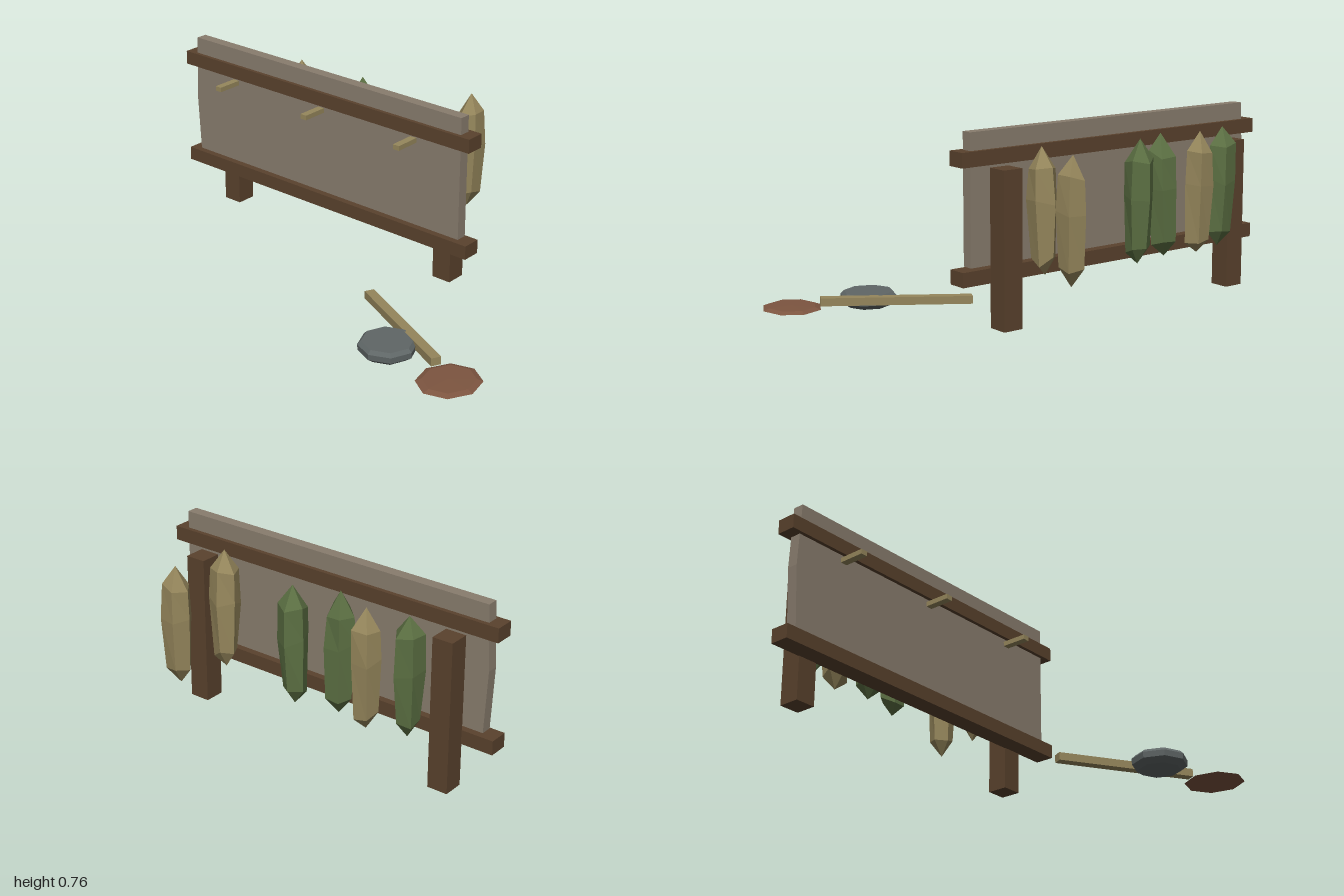
import * as THREE from 'three';

const mat = (name, color) => new THREE.MeshStandardMaterial({ name, color, flatShading: true });

export function createModel() {
  const group = new THREE.Group();
  const wood = mat('dark wood', 0x5a422d);
  const board = mat('grey board', 0x897d6e);
  const straw = mat('straw', 0x96875c);
  const leaf = mat('leaf green', 0x5c7043);
  const stone = mat('stone', 0x5f6666);
  const rust = mat('rust', 0x7d5540);

  let seed = 7;
  const jitter = (a) => {
    seed = (seed * 16807) % 2147483647;
    return (seed / 2147483647 - 0.5) * 2 * a;
  };

  const add = (name, geometry, material, x = 0, y = 0, z = 0) => {
    const mesh = new THREE.Mesh(geometry, material);
    mesh.name = name;
    mesh.position.set(x, y, z);
    group.add(mesh);
    return mesh;
  };
  // Box given by its limits on each axis
  const box = (name, material, [x0, x1], [y0, y1], [z0, z1]) =>
    add(name, new THREE.BoxGeometry(x1 - x0, y1 - y0, z1 - z0), material,
      (x0 + x1) / 2, (y0 + y1) / 2, (z0 + z1) / 2);
  // Faceted turned shape from [radius, height] pairs
  const turned = (profile, sides) =>
    new THREE.LatheGeometry(profile.map(([r, y]) => new THREE.Vector2(r, y)), sides);

  // Rack frame
  for (const x of [-0.8225, 0.3475])
    box('post', wood, [x - 0.043, x + 0.043], [0.005, 0.622], [-0.293, -0.207]);
  box('lowerRail', wood, [-1, 0.52], [0.18, 0.238], [-0.21, -0.13]);
  box('upperRail', wood, [-1, 0.52], [0.632, 0.69], [-0.21, -0.13]);

  // Upright panel with a slightly bowed end
  const outline = new THREE.Shape([
    [-0.945, 0.245], [0.47, 0.245], [0.47, 0.76], [-0.945, 0.76], [-0.958, 0.5],
  ].map(([x, y]) => new THREE.Vector2(x, y)));
  add('panel', new THREE.ExtrudeGeometry(outline, { depth: 0.046, bevelEnabled: false }),
    board, 0, 0, -0.192);

  // Pegs on the front
  for (const x of [-0.72, -0.24, 0.24])
    box('peg', straw, [x - 0.015, x + 0.015], [0.6, 0.62], [-0.15, -0.037]);

  // Hanging bundles: five-sided pods with uneven facets
  const podProfile = [[0, -0.248], [0.05, -0.19], [0.061, 0.03], [0.055, 0.165], [0, 0.248]];
  const pods = [
    [-0.70, -0.32, leaf], [-0.54, -0.36, straw], [-0.385, -0.315, leaf],
    [-0.21, -0.37, leaf], [0.2, -0.288, straw], [0.245, -0.512, straw],
  ];
  for (const [x, z, material] of pods) {
    const geometry = turned(podProfile, 5);
    const p = geometry.attributes.position;
    const rings = podProfile.length;
    for (let j = 1; j < rings - 1; j++) {
      for (let i = 0; i < 5; i++) {
        const k = i * rings + j;
        const s = 1 + jitter(0.09);
        p.setXYZ(k, p.getX(k) * s, p.getY(k) + jitter(0.02), p.getZ(k) * s);
      }
      // Close the seam
      const end = 5 * rings + j;
      p.setXYZ(end, p.getX(j), p.getY(j), p.getZ(j));
    }
    geometry.computeVertexNormals();
    const pod = add('hangingBundle', geometry, material, x, 0.447, z);
    pod.rotation.set(jitter(0.03), jitter(Math.PI), jitter(0.03));
  }

  // Flat stone on the ground
  add('flatStone', turned([[0, 0.004], [0.085, 0.004], [0.112, 0.024], [0.114, 0.048],
    [0.1, 0.062], [0, 0.062]], 8), stone, 0.555, 0, 0.39);

  // Paddle: sloping handle and thin eight-sided blade
  const from = new THREE.Vector3(0.24, 0.033, 0.117);
  const to = new THREE.Vector3(0.78, 0.054, 0.387);
  const handle = add('paddleHandle', new THREE.BoxGeometry(0.04, 0.032, from.distanceTo(to)), straw);
  handle.position.copy(from).lerp(to, 0.5);
  handle.lookAt(to);
  const blade = add('paddleBlade', turned([[0, 0.023], [0.08, 0.025], [0.124, 0.034],
    [0.1, 0.043], [0, 0.044]], 8), rust, 0.878, 0, 0.438);
  blade.rotation.y = -0.14;
  blade.scale.set(0.95, 1, 1.04);

  return group;
}
